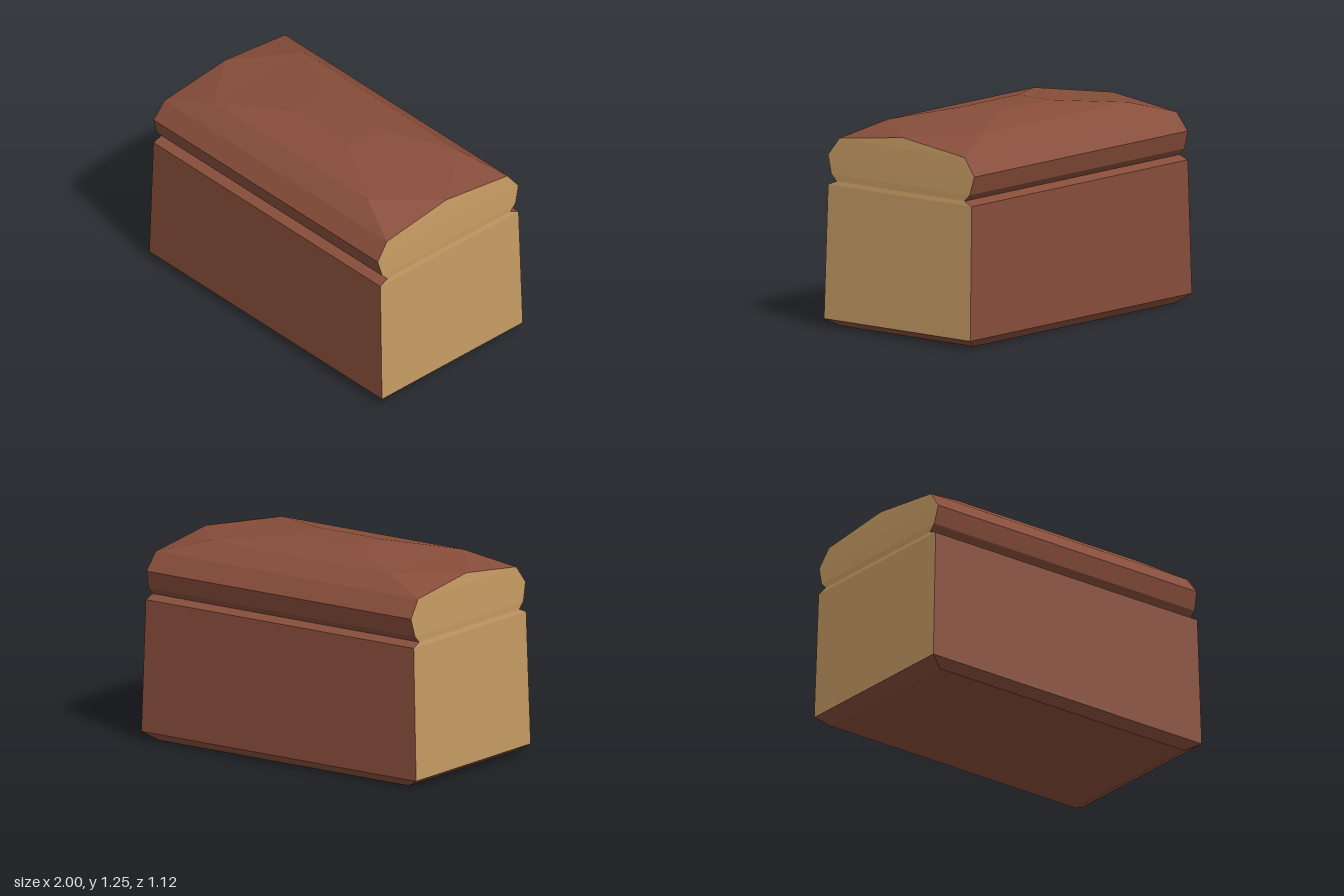
import * as THREE from 'three';

// Rectangular rings of the loaf, bottom to top: [half width x, height y, half depth z]
const RINGS = [
  [0.91, 0, 0.51],
  [1.0, 0.05, 0.56],
  [0.975, 0.845, 0.55],
  [0.97, 0.87, 0.49],
  [0.97, 0.91, 0.53],
  [0.963, 1.02, 0.56],
  [0.955, 1.125, 0.48],
  [0.66, 1.21, 0.36],
  [0.24, 1.255, 0.13],
];
const SHOULDER = 6; // ring where the cut ends rise to a peak
const PEAK = [0.948, 1.185, 0];

// Collects flat polygons, each given counter-clockwise
function faceBuilder() {
  const positions = [];
  return {
    add(...pts) {
      for (let i = 1; i < pts.length - 1; i++) positions.push(...pts[0], ...pts[i], ...pts[i + 1]);
    },
    mesh(name, material) {
      const geometry = new THREE.BufferGeometry();
      geometry.setAttribute('position', new THREE.Float32BufferAttribute(positions, 3));
      geometry.computeVertexNormals();
      const mesh = new THREE.Mesh(geometry, material);
      mesh.name = name;
      return mesh;
    },
  };
}

export function createModel() {
  const crustMaterial = new THREE.MeshStandardMaterial({ color: 0x874d3a });
  crustMaterial.name = 'brown crust';
  const crumbMaterial = new THREE.MeshStandardMaterial({ color: 0xc69b63 });
  crumbMaterial.name = 'tan crumb';

  const base = faceBuilder();
  const sides = faceBuilder();
  const top = faceBuilder();
  const ends = faceBuilder();

  // Each half is the other turned by 180 degrees about y
  for (const s of [1, -1]) {
    const turn = ([x, y, z]) => [s * x, y, s * z];
    const corner = (ring, sx, sz) => turn([sx * ring[0], ring[1], sz * ring[2]]);

    for (let i = 0; i < RINGS.length - 1; i++) {
      const lo = RINGS[i], hi = RINGS[i + 1];
      // Long crust faces
      const long = i === 0 ? base : i < SHOULDER ? sides : top;
      long.add(corner(lo, -1, 1), corner(lo, 1, 1), corner(hi, 1, 1), corner(hi, -1, 1));
      // Short faces: bevel, cut crumb, and upper slope
      if (i === SHOULDER) continue;
      const short = i === 0 ? base : i < SHOULDER ? ends : top;
      short.add(corner(lo, 1, 1), corner(lo, 1, -1), corner(hi, 1, -1), corner(hi, 1, 1));
    }

    // Peaked cut end and the crust folding over it
    const a = corner(RINGS[SHOULDER], 1, 1), b = corner(RINGS[SHOULDER], 1, -1);
    const c = corner(RINGS[SHOULDER + 1], 1, 1), d = corner(RINGS[SHOULDER + 1], 1, -1);
    const m = turn(PEAK);
    ends.add(a, b, m);
    top.add(a, m, c);
    top.add(m, b, d);
    top.add(m, d, c);
  }

  // Flat underside and flat crown
  const [bx, by, bz] = RINGS[0];
  base.add([-bx, by, bz], [-bx, by, -bz], [bx, by, -bz], [bx, by, bz]);
  const [tx, ty, tz] = RINGS[RINGS.length - 1];
  top.add([-tx, ty, tz], [tx, ty, tz], [tx, ty, -tz], [-tx, ty, -tz]);

  const group = new THREE.Group();
  group.name = 'breadLoaf';
  group.add(
    base.mesh('bottomCrust', crustMaterial),
    sides.mesh('sideCrust', crustMaterial),
    top.mesh('topCrust', crustMaterial),
    ends.mesh('cutEnds', crumbMaterial),
  );
  return group;
}
